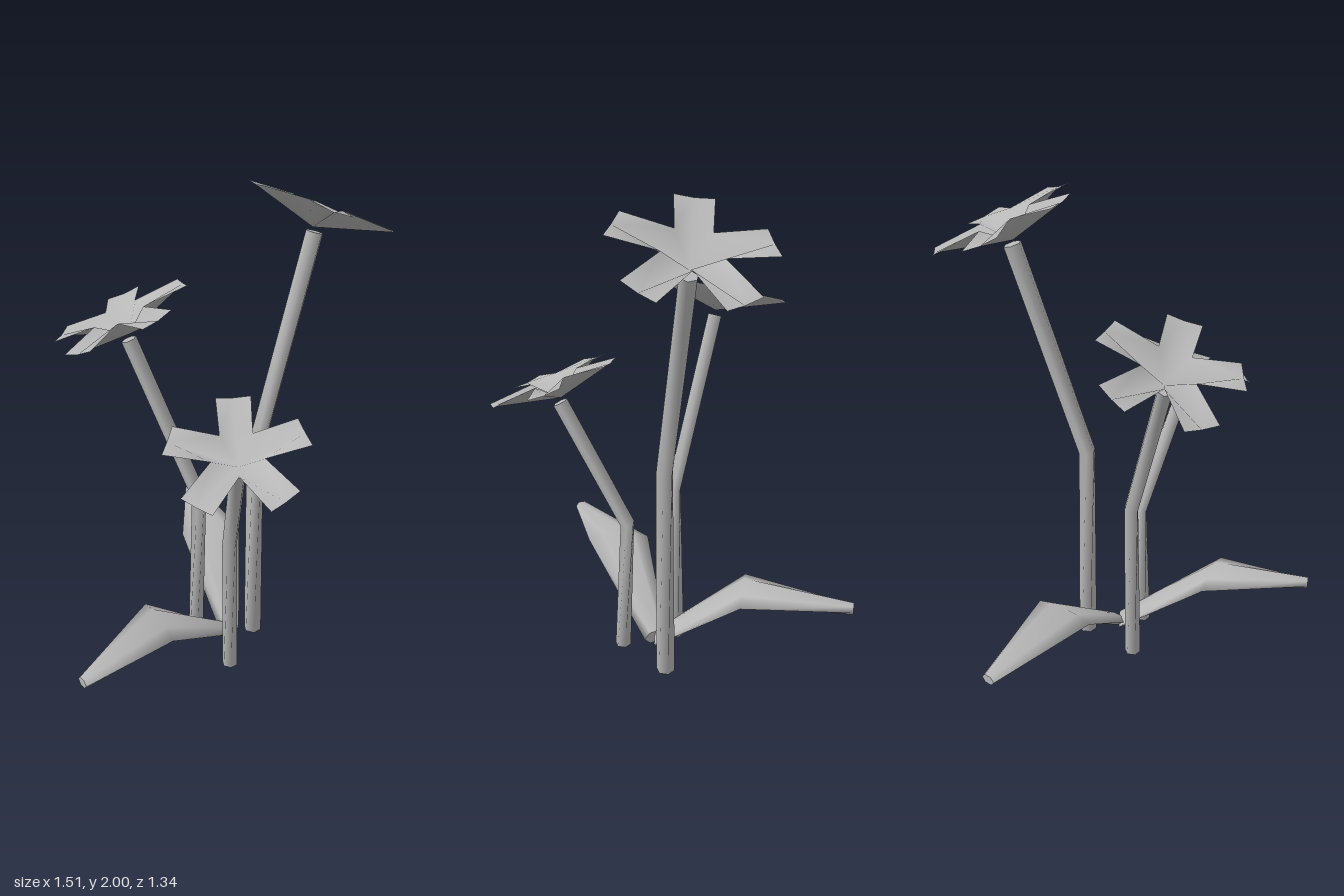
import * as THREE from 'three';

const V = (x, y, z) => new THREE.Vector3(x, y, z);
const UP = V(0, 1, 0);
const SIDES = 6;

// Smooth skin through rings of points, with flat caps at both ends
function loft(rings) {
  const n = rings[0].length, pos = [], idx = [];
  const add = p => pos.push(p.x, p.y, p.z);
  rings.forEach(r => r.forEach(add));
  for (let i = 0; i < rings.length - 1; i++) {
    for (let j = 0; j < n; j++) {
      const a = i * n + j, b = i * n + (j + 1) % n;
      idx.push(a, b, a + n, b, b + n, a + n);
    }
  }
  [rings[0].slice().reverse(), rings[rings.length - 1]].forEach(cap => {
    const s = pos.length / 3;
    cap.forEach(add);
    for (let j = 1; j < n - 1; j++) idx.push(s, s + j, s + j + 1);
  });
  return finish(pos, idx);
}

function finish(pos, idx) {
  const g = new THREE.BufferGeometry();
  g.setAttribute('position', new THREE.Float32BufferAttribute(pos, 3));
  g.setIndex(idx);
  g.computeVertexNormals();
  return g;
}

// Bent stem: twisted lower length, straight leaning upper length
function stemGeometry(base, bend, top, radius) {
  const upper = top.clone().sub(bend).normalize();
  const twist = 1.7;
  const ring = (centre, dir, turn, r) => {
    const q = new THREE.Quaternion().setFromUnitVectors(UP, dir);
    return Array.from({ length: SIDES }, (_, j) => {
      const a = j / SIDES * Math.PI * 2 + turn;
      return V(r * Math.cos(a), 0, -r * Math.sin(a)).applyQuaternion(q).add(centre);
    });
  };
  return loft([
    ring(base, UP, 0, radius * 1.08),
    ring(bend, upper.clone().add(UP).normalize(), twist, radius),
    ring(top, upper, twist, radius),
  ]);
}

// Flat leaf: each section runs between two edge points, with half thickness t
function leafGeometry(sections) {
  return loft(sections.map(([a, b, t]) => {
    const mid = a.clone().add(b).multiplyScalar(0.5);
    const half = b.clone().sub(mid);
    return Array.from({ length: SIDES }, (_, j) => {
      const ang = j / SIDES * Math.PI * 2;
      return mid.clone().addScaledVector(half, Math.cos(ang)).addScaledVector(UP, t * Math.sin(ang));
    });
  }));
}

// Dish of five square-ended petals, each folded along its middle
function flowerGeometry() {
  const R = 0.286, W = 0.072, NOTCH = 0.112, DEPTH = 0.085;
  const pos = [0, -DEPTH, 0], idx = [];
  const put = (angle, out, side, h) => pos.push(
    out * Math.sin(angle) + side * Math.cos(angle), h,
    out * Math.cos(angle) - side * Math.sin(angle));
  for (let k = 0; k < 5; k++) {
    const a = k * Math.PI * 0.4;
    put(a - Math.PI / 5, NOTCH, 0, 0.008);
    put(a, R, -W, 0);
    put(a, R, 0, -0.006);
    put(a, R, W, 0);
    const s = 1 + k * 4, next = 1 + ((k + 1) % 5) * 4;
    idx.push(0, s, s + 2, s, s + 1, s + 2, 0, s + 2, next, s + 2, s + 3, next);
  }
  return finish(pos, idx);
}

export function createModel() {
  const group = new THREE.Group();
  const grey = new THREE.MeshStandardMaterial({ color: 0xb8b8b8 });
  grey.name = 'plain grey';
  grey.side = THREE.DoubleSide;
  const addMesh = (name, geometry) => {
    const mesh = new THREE.Mesh(geometry, grey);
    mesh.name = name;
    group.add(mesh);
    return mesh;
  };

  // Three flowers on stems; turn aims the first petal
  const flower = flowerGeometry();
  [
    { name: 'tall', base: V(0.197, 0, 0.08), bend: V(0.185, 0.92, 0.08), top: V(0.455, 1.785, 0.08),
      r: 0.036, head: V(0.485, 1.88, 0.075), lean: V(0.45, 1, 0), turn: Math.PI, size: 1 },
    { name: 'back', base: V(-0.03, 0, -0.04), bend: V(-0.02, 0.73, -0.025), top: V(-0.185, 1.4, -0.25),
      r: 0.031, head: V(-0.205, 1.495, -0.275), lean: V(-0.31, 1, -0.31), turn: 0, size: 0.96 },
    { name: 'front', base: V(-0.03, 0, 0.2), bend: V(-0.02, 0.6, 0.175), top: V(-0.17, 1.11, 0.4),
      r: 0.031, head: V(-0.19, 1.2, 0.42), lean: V(-0.31, 1, 0.31), turn: 0, size: 0.91 },
  ].forEach(f => {
    addMesh(f.name + 'Stem', stemGeometry(f.base, f.bend, f.top, f.r));
    const head = addMesh(f.name + 'Flower', flower);
    head.position.copy(f.head);
    head.scale.setScalar(f.size);
    head.quaternion.setFromUnitVectors(UP, f.lean.normalize())
      .multiply(new THREE.Quaternion().setFromAxisAngle(UP, f.turn));
  });

  // Two arching leaves from the middle of the clump
  addMesh('rightLeaf', leafGeometry([
    [V(0.045, 0.065, 0.03), V(0.06, 0.065, 0.13), 0.03],
    [V(-0.32, 0.335, 0), V(-0.37, 0.335, 0.258), 0.022],
    [V(-0.755, 0.295, 0.172), V(-0.755, 0.295, 0.228), 0.022],
  ]));
  addMesh('backLeaf', leafGeometry([
    [V(0.1, 0.065, 0.1), V(0.02, 0.065, 0.065), 0.03],
    [V(0.335, 0.335, -0.19), V(0.1, 0.335, -0.305), 0.022],
    [V(0.447, 0.295, -0.64), V(0.392, 0.295, -0.668), 0.022],
  ]));
  return group;
}
